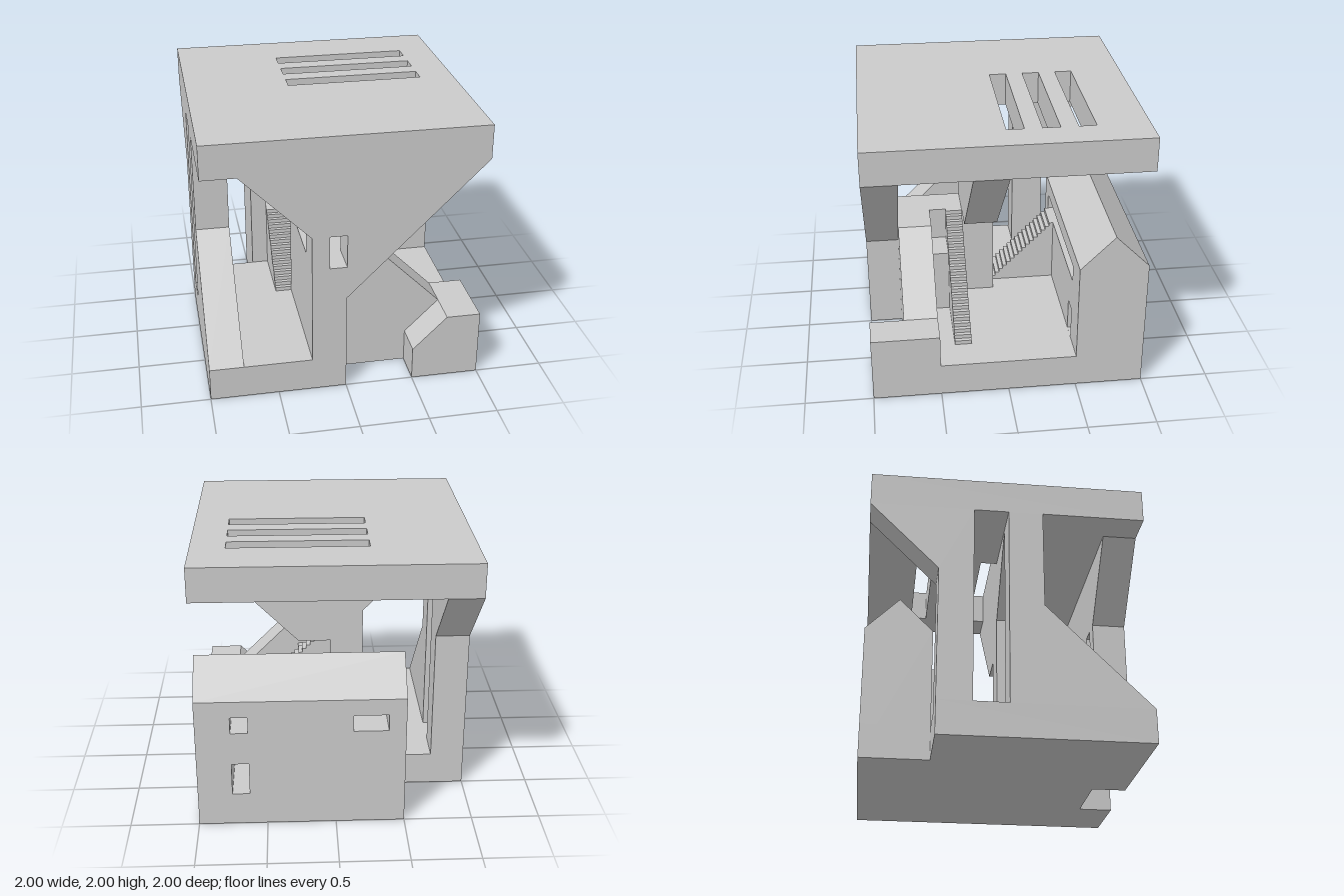
import * as THREE from 'three';

const material = new THREE.MeshStandardMaterial({ color: 0xcccccc, flatShading: true });

function makeShape(points, holes = []) {
  const toVectors = (list) => list.map(([a, b]) => new THREE.Vector2(a, b));
  const shape = new THREE.Shape(toVectors(points));
  for (const h of holes) shape.holes.push(new THREE.Path(toVectors(h)));
  return shape;
}

const rect = (a0, a1, b0, b1) => [[a0, b0], [a1, b0], [a1, b1], [a0, b1]];
const extrude = (shape, depth) => new THREE.ExtrudeGeometry(shape, { depth, bevelEnabled: false });

export function createModel() {
  const model = new THREE.Group();

  const add = (name, geometry) => {
    const mesh = new THREE.Mesh(geometry, material);
    mesh.name = name;
    model.add(mesh);
  };
  // outline in (x, y), running from z0 to z1
  const alongZ = (name, points, z0, z1, holes) =>
    add(name, extrude(makeShape(points, holes), z1 - z0).translate(0, 0, z0));
  // outline in (z, y), running from x0 to x1
  const alongX = (name, points, x0, x1, holes) =>
    add(name, extrude(makeShape(points, holes), x1 - x0).rotateY(-Math.PI / 2).translate(x1, 0, 0));
  // outline in (x, -z), running from y0 to y1
  const alongY = (name, points, y0, y1, holes) =>
    add(name, extrude(makeShape(points, holes), y1 - y0).rotateX(-Math.PI / 2).translate(0, y0, 0));

  // ground slab with a front notch and a cut back corner
  alongY('base', [
    [-1, -1], [0, -1], [0, -0.75], [0.5, -0.75], [0.5, -1], [1, -1],
    [1, 1], [-0.5, 1], [-0.5, 0.5], [-1, 0.5],
  ], 0, 0.25);

  // flat roof with three slits
  const slits = [0, 0.25, 0.5].map((s) => rect(-0.25, 0.75, s, s + 0.125));
  alongY('roofSlab', rect(-1, 1, -1, 1), 1.75, 2, slits);

  // front wall widening upward like a funnel, with a window
  alongZ('frontWall', [
    [-0.25, 0.25], [0, 0.25], [0, 0.75], [1, 1.75], [-0.75, 1.75], [-0.25, 1.25],
  ], 0.75, 1, [rect(-0.125, 0, 1, 1.25)]);

  // matching wall in the middle
  alongZ('middleWall', [
    [-0.25, 0.25], [0, 0.25], [0, 1], [0.25, 1], [1, 1.75], [-0.75, 1.75], [-0.25, 1.25],
  ], 0, 0.25);

  // side wall with a buttress in front, an overhang behind and a tall slot
  alongX('sideWall', [
    [-0.5, 0.25], [1, 0.25], [0.25, 1], [0.25, 1.75], [-1, 1.75], [-0.5, 1.25],
  ], -1, -0.75, [rect(-0.25, 0, 0.25, 1.75)]);

  // house: front part with gallery and door, back part with windows, gable roof
  const door = rect(0.625, 0.75, 0.251, 0.5);
  const houseOutline = rect(-0.5, 1, 0.25, 1);
  alongZ('houseFront', houseOutline, -0.875, -0.5, [door, rect(-0.375, 0.75, 0.75, 0.875)]);
  alongZ('houseBack', houseOutline, -1, -0.875, [
    door, rect(0.625, 0.75, 0.75, 0.875), rect(-0.375, -0.125, 0.75, 0.875),
  ]);
  alongX('gableRoof', [[-1, 1], [-0.5, 1], [-0.75, 1.25]], -0.5, 1);

  // corner block and sloping parapet beside the main stair
  alongZ('cornerBlock', [[0.5, 0.25], [1, 0.25], [1, 0.5], [0.75, 0.5]], 0.5, 1);
  alongZ('slopingParapet', [[-0.25, 0.25], [0.5, 0.25], [0.75, 0.5], [0.25, 1], [-0.25, 1]], 0.5, 0.75);
  alongZ('landing', [
    [-0.25, 0.25], [0.25, 0.25], [0.25, 0.75], [0, 0.75], [0, 1], [-0.25, 1],
  ], 0.375, 0.5);

  // stairs: a stepped outline falling from the top to the floor
  const step = 1 / 32;
  const steps = (start, top, count) => {
    const points = [];
    for (let i = 0; i < count; i++) {
      points.push([start + i * step, top - i * step], [start + (i + 1) * step, top - i * step]);
    }
    points.push([start + count * step, 0.25]);
    return points;
  };
  alongZ('mainStair', [[-0.25, 0.25], [-0.25, 1], ...steps(0, 1, 24)], 0.25, 0.375);
  alongX('galleryStair', [[-0.5, 0.25], ...steps(-0.5, 0.75, 16)], -0.375, -0.125);

  return model;
}
